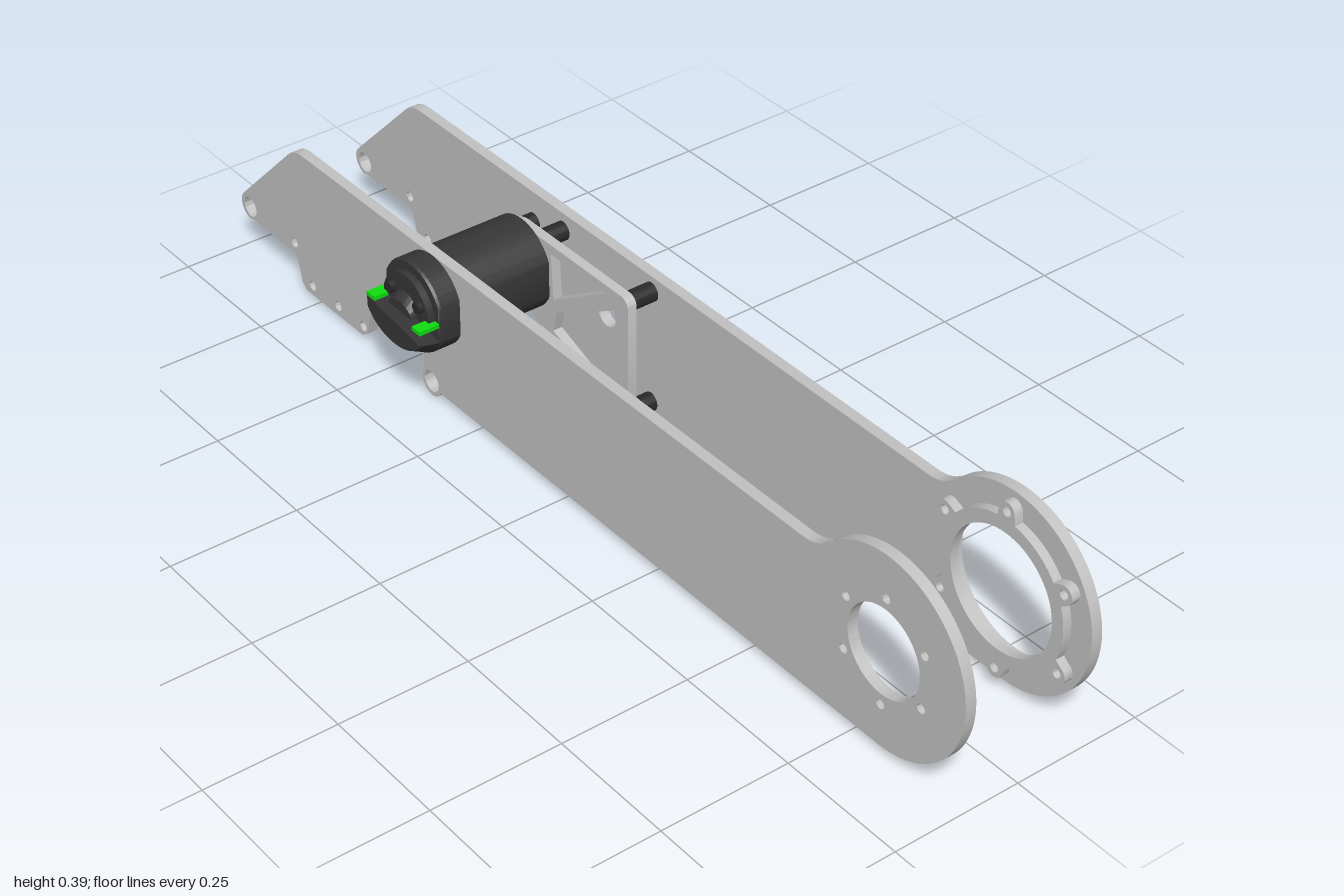
import * as THREE from 'three';
import { toCreasedNormals } from 'three/addons/utils/BufferGeometryUtils.js';

const PI = Math.PI;
const material = (name, color) => {
  const m = new THREE.MeshStandardMaterial({ color });
  m.name = name;
  return m;
};

export function createModel() {
  const aluminium = material('aluminium', 0xc2c2c2);
  const motorBlack = material('motor black', 0x363636);
  const spacerBlack = material('spacer black', 0x2a2a2a);
  const steel = material('steel', 0x8e8e8e);
  const green = material('green', 0x10dc10);
  const model = new THREE.Group();
  model.name = 'armAssembly';

  const add = (name, geometry, mat, parent = model) => {
    const mesh = new THREE.Mesh(geometry, mat);
    mesh.name = name;
    parent.add(mesh);
    return mesh;
  };

  // Profiles are drawn as (u, y) with u = -z, then extruded along x
  const slab = (shape, x0, x1, deform) => {
    const g = new THREE.ExtrudeGeometry(shape, { depth: x1 - x0, bevelEnabled: false, curveSegments: 32 });
    g.rotateY(PI / 2).translate(x0, 0, 0);
    if (deform) {
      const p = g.attributes.position;
      const v = new THREE.Vector3();
      for (let i = 0; i < p.count; i++) {
        deform(v.fromBufferAttribute(p, i));
        p.setXYZ(i, v.x, v.y, v.z);
      }
      g.computeVertexNormals();
    }
    return toCreasedNormals(g, 0.5);
  };
  const disc = (u, y, r) => {
    const s = new THREE.Shape();
    s.absarc(u, y, r, 0, 2 * PI, false);
    return s;
  };
  const hole = (shape, u, y, r) => {
    const p = new THREE.Path();
    p.absarc(u, y, r, 0, 2 * PI, true);
    shape.holes.push(p);
  };
  const rod = (name, u, y, r, x0, x1, mat) => add(name, slab(disc(u, y, r), x0, x1), mat);
  const sixAround = (r) => [0, 1, 2, 3, 4, 5].map((i) => {
    const a = PI / 6 + i * PI / 3;
    return [pivot.u + r * Math.cos(a), pivot.y + r * Math.sin(a)];
  });

  const pivot = { u: -0.815, y: 0.202 };
  const motor = { u: 0.37, y: 0.217 };
  const motorBolts = [[0.337, 0.27], [0.425, 0.243], [0.4, 0.157]];
  const frameBolts = [[0.085, 0.275], [0.085, 0.044]];

  // Long side plate: round head, notched lower edge, two round lugs
  const plateShape = () => {
    const s = new THREE.Shape();
    s.moveTo(pivot.u, 0.017);
    s.lineTo(0.355, 0.017);
    s.absarc(0.385, 0.028, 0.028, 3.55, 2 * PI + 0.4, false);
    [[0.405, 0.075], [0.56, 0.075], [0.575, 0.067], [0.588, 0.02], [0.603, 0.009], [0.787, 0.009],
      [0.8, 0.02], [0.813, 0.067], [0.825, 0.075], [0.965, 0.075]].forEach(([u, y]) => s.lineTo(u, y));
    s.absarc(0.972, 0.1, 0.028, -PI / 2, 0.8, false);
    s.lineTo(0.82, 0.289);
    s.quadraticCurveTo(0.803, 0.305, 0.775, 0.305);
    s.lineTo(-0.62, 0.305);
    s.quadraticCurveTo(-0.656, 0.305, pivot.u + 0.131, pivot.y + 0.131);
    s.absarc(pivot.u, pivot.y, 0.185, PI / 4, 1.5 * PI, false);
    hole(s, 0.385, 0.029, 0.021);
    hole(s, 0.97, 0.099, 0.02);
    [[0.395, 0.097], [0.545, 0.097], [0.82, 0.097], [0.6, 0.03], [0.682, 0.03], [0.766, 0.03]]
      .forEach(([u, y]) => hole(s, u, y, 0.01));
    return s;
  };

  const rightPlate = plateShape();
  hole(rightPlate, pivot.u, pivot.y, 0.13);
  sixAround(0.155).forEach(([u, y]) => hole(rightPlate, u, y, 0.01));
  [...motorBolts, ...frameBolts].forEach(([u, y]) => hole(rightPlate, u, y, 0.009));
  hole(rightPlate, 0.211, 0.16, 0.025);
  hole(rightPlate, motor.u, motor.y, 0.027);
  add('leftSidePlate', slab(rightPlate, 0.134, 0.155), aluminium);

  const leftPlate = plateShape();
  hole(leftPlate, pivot.u, pivot.y, 0.083);
  sixAround(0.104).forEach(([u, y]) => hole(leftPlate, u, y, 0.009));
  add('rightSidePlate', slab(leftPlate, -0.124, -0.103), aluminium);

  // Bearing flange: ring outline bulging around six bolts
  const flange = new THREE.Shape();
  for (let i = 0; i < 180; i++) {
    const a = i * PI / 90;
    const d = ((a - PI / 6 + 2 * PI) % (PI / 3) + PI / 3) % (PI / 3);
    const off = Math.min(d, PI / 3 - d);
    const side = 0.155 * Math.sin(off);
    const lobe = side < 0.018 ? 0.155 * Math.cos(off) + Math.sqrt(0.018 ** 2 - side ** 2) : 0;
    const r = Math.max(0.14, lobe);
    const u = pivot.u + r * Math.cos(a), y = pivot.y + r * Math.sin(a);
    if (i) flange.lineTo(u, y); else flange.moveTo(u, y);
  }
  hole(flange, pivot.u, pivot.y, 0.115);
  sixAround(0.155).forEach(([u, y]) => hole(flange, u, y, 0.009));
  add('bearingFlange', slab(flange, 0.117, 0.134), aluminium);

  // Triangular motor mount with two windows
  const frame = new THREE.Shape();
  frame.absarc(0.085, 0.044, 0.02, PI, PI * 1.617, false);
  frame.absarc(motor.u, 0.215, 0.078, -PI * 0.383, PI / 2, false);
  frame.absarc(0.085, 0.273, 0.02, PI / 2, PI, false);
  frame.closePath();
  [[[0.13, 0.274], [0.285, 0.274], [0.278, 0.182]],
    [[0.1, 0.255], [0.268, 0.16], [0.28, 0.115], [0.1, 0.05]]].forEach((pts) => {
    frame.holes.push(new THREE.Path(pts.map(([u, y]) => new THREE.Vector2(u, y))));
  });
  add('motorMount', slab(frame, 0.067, 0.086), aluminium);

  // Spacers between mount and side plate
  motorBolts.forEach(([u, y]) => rod('motorSpacer', u, y, 0.018, 0.086, 0.134, spacerBlack));
  frameBolts.forEach(([u, y]) => rod('mountSpacer', u, y, 0.018, 0.086, 0.134, spacerBlack));

  // Motor body: round can with flattened sides
  const flat = Math.acos(0.08 / 0.0875);
  const can = new THREE.Shape();
  can.absarc(motor.u, motor.y, 0.0875, flat, PI - flat, false);
  can.absarc(motor.u, motor.y, 0.0875, PI + flat, 2 * PI - flat, false);
  can.closePath();
  add('motorBody', slab(can, -0.163, 0.067), motorBlack);
  add('motorRim', slab(can, -0.168, -0.163, (v) => {
    if (v.x < -0.165) {
      v.y = motor.y + (v.y - motor.y) * 0.97;
      v.z = -motor.u + (v.z + motor.u) * 0.97;
    }
  }), motorBlack);

  // Lower half cap, tapering toward its end
  const cap = new THREE.Shape();
  cap.moveTo(motor.u - 0.08, 0.214);
  cap.absarc(motor.u, motor.y, 0.0865, PI + flat, 2 * PI - flat, false);
  cap.lineTo(motor.u + 0.08, 0.214);
  cap.closePath();
  add('motorCap', slab(cap, -0.209, -0.168, (v) => {
    if (v.x < -0.19) v.y = 0.214 + (v.y - 0.214) * 0.7;
  }), motorBlack);

  // Upper cap details
  const upper = new THREE.Shape();
  upper.absarc(motor.u, motor.y, 0.068, 0, PI, false);
  upper.closePath();
  add('upperCap', slab(upper, -0.181, -0.168), motorBlack);
  const hub = new THREE.Shape();
  hub.absarc(motor.u, motor.y, 0.034, 0, PI, false);
  hub.closePath();
  add('capHub', slab(hub, -0.195, -0.181, (v) => {
    if (v.x < -0.19) v.y = motor.y + (v.y - motor.y) * 0.6;
  }), motorBlack);
  [-1, 1].forEach((side) => {
    rod('terminal', motor.u + side * 0.042, 0.243, 0.011, -0.19, -0.181, spacerBlack);
    // Green light strips along the cap shoulders
    const strip = new THREE.BoxGeometry(0.041, 0.008, 0.024);
    add('lightStrip', strip, green).position.set(-0.1888, 0.2178, -motor.u + side * 0.0685);
  });

  // Splined output shaft
  const spline = new THREE.Shape();
  for (let i = 0; i < 56; i++) {
    const a = i * PI / 28;
    const r = i % 4 < 2 ? 0.0138 : 0.0112;
    const u = motor.u + r * Math.cos(a), y = motor.y - 0.003 + r * Math.sin(a);
    if (i) spline.lineTo(u, y); else spline.moveTo(u, y);
  }
  add('outputShaft', slab(spline, 0.086, 0.207), steel);
  rod('shaftBoss', motor.u, motor.y, 0.03, 0.086, 0.09, spacerBlack);

  return model;
}
